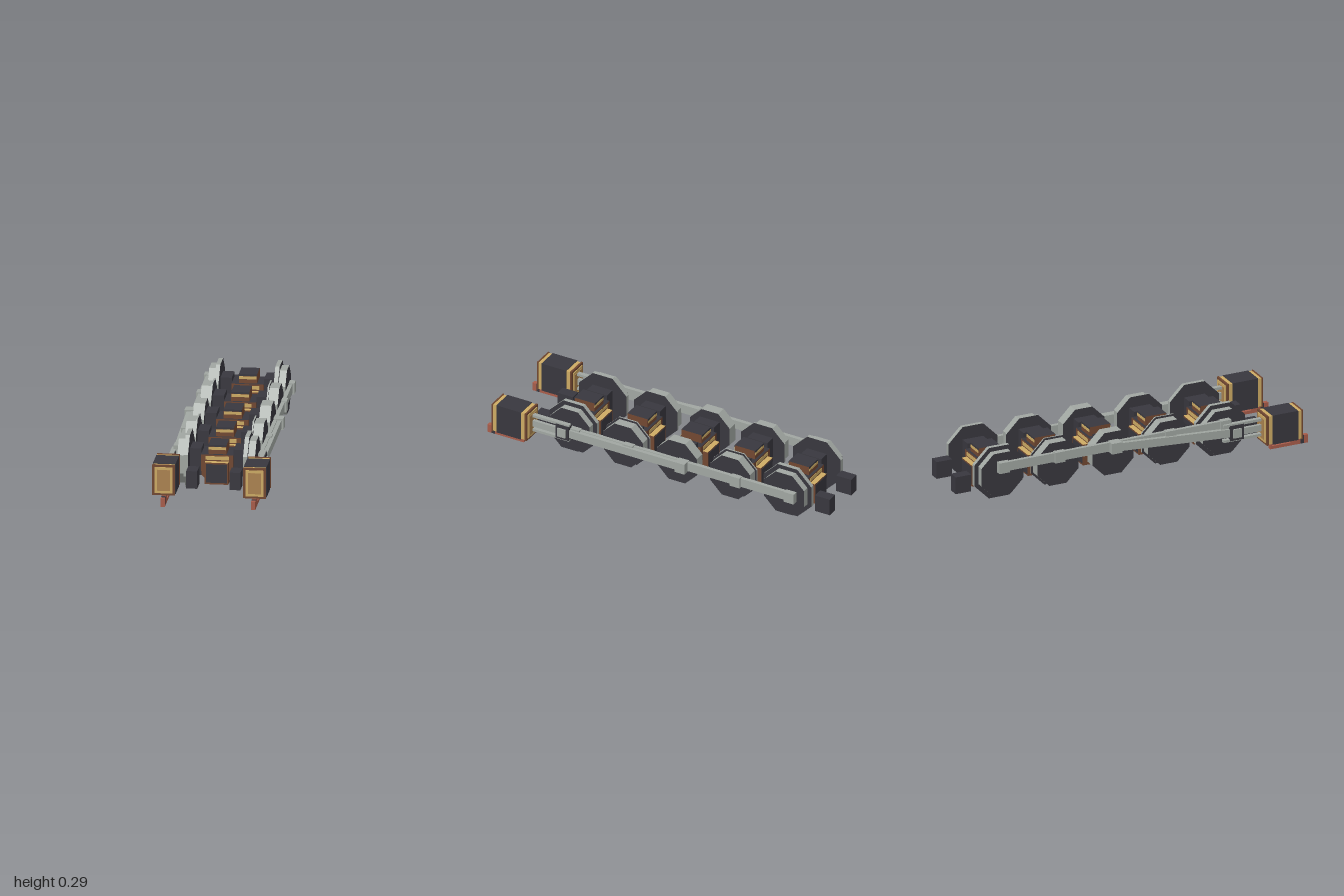
import * as THREE from 'three';

export function createModel() {
  const root = new THREE.Group();
  root.name = 'runningGear';
  const mat = (name, color) => {
    const m = new THREE.MeshStandardMaterial({ color });
    m.name = name;
    return m;
  };
  const dark = mat('darkIron', 0x38373e);
  const steel = mat('steel', 0xa0a6a1);
  const brown = mat('brownBronze', 0x714731);
  const gold = mat('brass', 0xcdab64);
  const tan = mat('dullBrass', 0xab8350);
  const red = mat('redCopper', 0xa85c4a);

  // Box given by its minimum and maximum corners; material may be a six-face array
  const box = (parent, name, material, x0, x1, y0, y1, z0, z1) => {
    const m = new THREE.Mesh(new THREE.BoxGeometry(x1 - x0, y1 - y0, z1 - z0), material);
    m.position.set((x0 + x1) / 2, (y0 + y1) / 2, (z0 + z1) / 2);
    m.name = name;
    parent.add(m);
    return m;
  };
  // Box on side s of the model, with x measured outward
  const sideBox = (parent, name, material, s, x0, x1, ...rest) =>
    box(parent, name, material, Math.min(s * x0, s * x1), Math.max(s * x0, s * x1), ...rest);

  // Octagonal disc along x with steel rim and dark faces; r is the flat-side radius
  const disc = (parent, name, s, x0, x1, y, z, r) => {
    const R = r / Math.cos(Math.PI / 8);
    const g = new THREE.CylinderGeometry(R, R, x1 - x0, 8, 1, false, Math.PI / 8).toNonIndexed();
    g.computeVertexNormals();
    g.rotateZ(-Math.PI / 2);
    const m = new THREE.Mesh(g, [steel, dark, dark]);
    m.position.set(s * (x0 + x1) / 2, y, z);
    m.name = name;
    parent.add(m);
  };

  const axleY = 0.145;
  const crank = 0.045;
  const axles = [
    { z: 0.53, flange: 0.143, w: 0.023 },
    { z: 0.21, flange: 0.131, w: 0.008 },
    { z: -0.115, flange: 0, w: 0 },
    { z: -0.435, flange: 0.131, w: 0.008 },
    { z: -0.76, flange: 0.143, w: 0.023 },
  ];

  // Wheel sets with the central drive housing
  axles.forEach(({ z, flange, w }, i) => {
    const set = new THREE.Group();
    set.name = 'wheelSet' + (i + 1);
    root.add(set);
    for (const s of [-1, 1]) {
      if (flange) disc(set, 'wheelFlange', s, 0.145, 0.145 + w, axleY, z, flange);
      disc(set, 'wheelTread', s, 0.145 + w, 0.205, axleY, z, 0.12);
      sideBox(set, 'axleBox', dark, s, 0.085, 0.145, 0.073, 0.217, z - 0.06, z + 0.06);
      // sloping gusset below the housing shoulder
      const shape = new THREE.Shape();
      shape.moveTo(0.055, 0.05);
      shape.lineTo(0.062, 0.05);
      shape.lineTo(0.085, 0.075);
      shape.lineTo(0.085, 0.1);
      shape.lineTo(0.055, 0.1);
      const g = new THREE.ExtrudeGeometry(shape, { depth: 0.12, bevelEnabled: false });
      if (s < 0) g.rotateY(Math.PI).translate(0, 0, 0.12);
      const gusset = new THREE.Mesh(g, brown);
      gusset.name = 'gusset';
      gusset.position.z = z - 0.06;
      set.add(gusset);
    }
    box(set, 'housingShoulder', [brown, brown, dark, brown, brown, brown],
      -0.085, 0.085, 0.1, 0.19, z - 0.075, z + 0.075);
    box(set, 'housingBase', [brown, brown, gold, dark, brown, brown],
      -0.062, 0.062, 0.037, 0.155, z - 0.105, z + 0.105);
    box(set, 'housingTop', [brown, brown, dark, brown, brown, brown],
      -0.048, 0.048, 0.19, 0.24, z - 0.06, z + 0.06);
    // face panels and brass bands
    for (const d of [-1, 1]) {
      const plate = (name, m, hx, y0, y1, zz) =>
        box(set, name, m, -hx, hx, y0, y1, z + d * zz - 0.002, z + d * zz + 0.002);
      plate('housingPanel', dark, 0.055, 0.046, 0.147, 0.105);
      plate('shoulderBand', gold, 0.062, 0.162, 0.182, 0.075);
      plate('topBand', gold, 0.046, 0.213, 0.228, 0.06);
      plate('capBand', dark, 0.048, 0.23, 0.24, 0.06);
    }
  });

  // Rods, slide bars, cylinders and buffers on each side
  for (const s of [-1, 1]) {
    const side = new THREE.Group();
    side.name = s > 0 ? 'leftDrive' : 'rightDrive';
    root.add(side);

    // the two sides are a quarter turn apart
    const dy = s > 0 ? 0 : crank;
    const dz = s > 0 ? -crank : 0;
    const rodY = axleY + dy;
    box(side, 'couplingRod', steel, ...(s > 0 ? [0.203, 0.225] : [-0.225, -0.203]),
      rodY - 0.025, rodY + 0.025, -0.79 + dz, 0.56 + dz);
    axles.forEach(({ z }, i) => {
      const out = i === 2 ? 0.258 : 0.236;
      sideBox(side, 'crankPin', steel, s, 0.2, out, rodY - 0.03, rodY + 0.03, z + dz - 0.03, z + dz + 0.03);
    });

    // Main rod from crosshead to the middle crank pin
    const headZ = s > 0 ? 0.55 : 0.585;
    const pinZ = axles[2].z + dz;
    const len = Math.hypot(headZ - pinZ, dy) + 0.04;
    const rod = new THREE.Mesh(new THREE.BoxGeometry(0.022, 0.045, len), steel);
    rod.position.set(s * 0.237, axleY + dy / 2, (headZ + pinZ) / 2);
    rod.rotation.x = Math.atan2(dy, headZ - pinZ);
    rod.name = 'mainRod';
    side.add(rod);

    sideBox(side, 'crosshead', dark, s, 0.222, 0.252, 0.105, 0.19, headZ - 0.04, headZ + 0.04);
    sideBox(side, 'crossheadPin', steel, s, 0.22, 0.26, 0.12, 0.17, headZ - 0.024, headZ + 0.024);
    sideBox(side, 'pistonRod', steel, s, 0.229, 0.247, 0.127, 0.163, headZ + 0.03, 0.75);
    for (const y of [0.1, 0.185])
      sideBox(side, 'slideBar', steel, s, 0.225, 0.249, y, y + 0.014, 0.51, 0.75);

    // Cylinder block with brass bands and end covers
    sideBox(side, 'cylinder', dark, s, 0.18, 0.3, 0.062, 0.228, 0.77, 0.918);
    for (const [z0, z1] of [[0.747, 0.77], [0.918, 0.938]])
      sideBox(side, 'cylinderBand', gold, s, 0.183, 0.297, 0.065, 0.225, z0, z1);
    for (const [z0, z1] of [[0.736, 0.747], [0.938, 0.946]])
      sideBox(side, 'cylinderFlange', brown, s, 0.18, 0.3, 0.062, 0.228, z0, z1);
    for (const [z0, z1] of [[0.732, 0.736], [0.946, 0.95]])
      sideBox(side, 'endCover', gold, s, 0.192, 0.288, 0.074, 0.216, z0, z1);
    for (const [z0, z1] of [[0.729, 0.732], [0.95, 0.953]])
      sideBox(side, 'endCoverCentre', tan, s, 0.205, 0.275, 0.088, 0.202, z0, z1);

    // Drain pipe below the cylinder
    sideBox(side, 'drainPipe', red, s, 0.227, 0.25, 0.015, 0.032, 0.78, 0.9);
    sideBox(side, 'drainRiser', red, s, 0.227, 0.25, 0.032, 0.062, 0.78, 0.79);
    sideBox(side, 'drainBlock', red, s, 0.227, 0.25, 0.015, 0.062, 0.9, 0.955);
    sideBox(side, 'drainCollar', dark, s, 0.227, 0.25, 0.015, 0.06, 0.955, 0.975);
    sideBox(side, 'drainNozzle', red, s, 0.227, 0.25, 0.015, 0.06, 0.975, 1.0);

    // Frame end blocks
    sideBox(side, 'frontBlock', dark, s, 0.085, 0.143, 0.05, 0.145, 0.675, 0.768);
    sideBox(side, 'rearBlock', dark, s, 0.085, 0.143, 0.05, 0.145, -1.0, -0.91);
  }
  return root;
}
